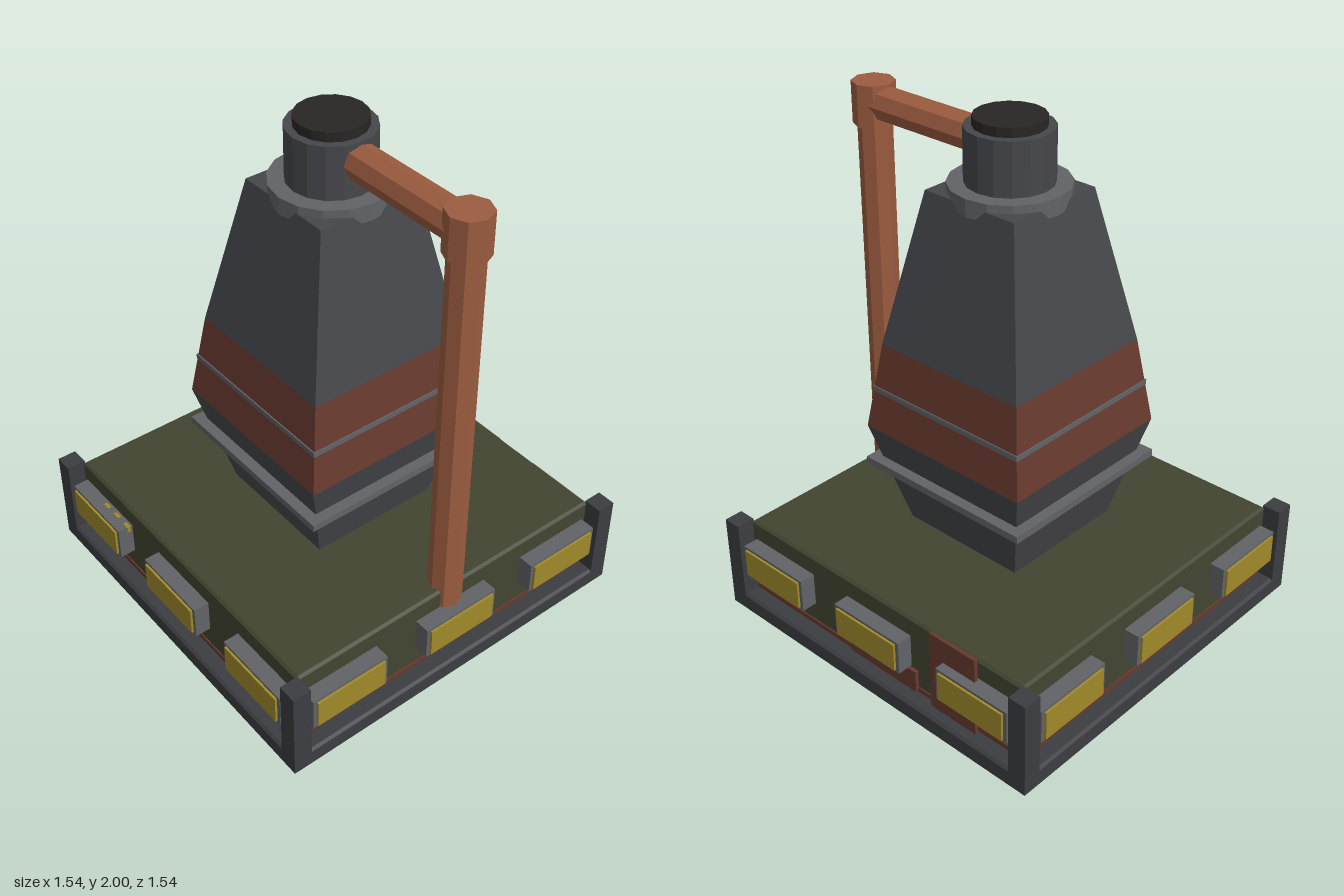
import * as THREE from 'three';

const mat = (color) => new THREE.MeshStandardMaterial({ color, flatShading: true });

export function createModel() {
  const root = new THREE.Group();
  root.name = 'furnaceTower';

  const steel = mat(0x46474b), darkSteel = mat(0x3c3d41), trim = mat(0x626367);
  const rust = mat(0x673a2f), copper = mat(0x9c5c3f), green = mat(0x424531);
  const yellow = mat(0xa08a2b), soot = mat(0x282624);

  const add = (parent, name, geo, material, x = 0, y = 0, z = 0) => {
    const mesh = new THREE.Mesh(geo, material);
    mesh.name = name;
    mesh.position.set(x, y, z);
    parent.add(mesh);
    return mesh;
  };
  const box = (parent, name, m, w, h, d, x, y, z) =>
    add(parent, name, new THREE.BoxGeometry(w, h, d), m, x, y, z);
  // Square frustum given by half widths at its bottom and top
  const frustum = (name, m, y0, h0, y1, h1) => {
    const geo = new THREE.CylinderGeometry(h1 * Math.SQRT2, h0 * Math.SQRT2, y1 - y0, 4);
    geo.rotateY(Math.PI / 4);
    return add(root, name, geo, m, 0, (y0 + y1) / 2, 0);
  };
  const tube = (name, m, r, y0, y1, sides, x = 0) =>
    add(root, name, new THREE.CylinderGeometry(r, r, y1 - y0, sides), m, x, (y0 + y1) / 2, 0);

  // Plinth: skirt, rust strip and bevelled green block
  frustum('skirt', darkSteel, 0, 0.77, 0.06, 0.77);
  frustum('skirtBevel', darkSteel, 0.06, 0.77, 0.07, 0.76);
  frustum('rustStrip', rust, 0.07, 0.705, 0.09, 0.705);
  frustum('plinth', green, 0.07, 0.7, 0.375, 0.7);
  frustum('plinthBevel', green, 0.375, 0.7, 0.385, 0.69);

  // Corner posts
  for (const sx of [-1, 1]) for (const sz of [-1, 1]) {
    box(root, 'cornerPost', darkSteel, 0.075, 0.38, 0.075, sx * 0.7325, 0.2, sz * 0.7325);
  }

  // Three framed lamps on each side
  for (let i = 0; i < 4; i++) {
    const side = new THREE.Group();
    side.name = 'lampRow';
    side.rotation.y = i * Math.PI / 2;
    for (const x of [-0.515, 0, 0.515]) {
      box(side, 'lampFrame', trim, 0.33, 0.135, 0.07, x, 0.2375, 0.727);
      box(side, 'lampPanel', yellow, 0.3, 0.115, 0.07, x, 0.2375, 0.736);
    }
    root.add(side);
  }

  // Small studs on a front lamp and rust patches on the back
  for (const x of [-0.5, -0.43, -0.36]) {
    box(root, 'stud', yellow, 0.03, 0.025, 0.015, x, 0.296, 0.718);
  }
  box(root, 'tallPatch', rust, 0.215, 0.34, 0.015, -0.392, 0.23, -0.717);
  box(root, 'lowPatch', rust, 0.34, 0.09, 0.015, -0.03, 0.12, -0.709);

  // Square tapered tower
  frustum('towerFoot', steel, 0.38, 0.263, 0.8, 0.373);
  frustum('rustBand', rust, 0.8, 0.373, 1.14, 0.325);
  frustum('towerTop', steel, 1.14, 0.325, 1.735, 0.205);
  frustum('lowerRing', trim, 0.635, 0.38, 0.663, 0.38);
  frustum('upperRing', trim, 0.95, 0.354, 0.97, 0.354);

  // Collar, chimney neck and sooty mouth
  tube('collar', trim, 0.22, 1.7, 1.765, 16);
  tube('chimneyNeck', steel, 0.16, 1.76, 1.965, 16);
  tube('chimneyMouth', soot, 0.13, 1.95, 2.0, 16);

  // Copper pipe from the neck down into the plinth
  tube('downPipe', copper, 0.065, 0.2, 1.85, 8, 0.665);
  tube('pipeElbow', copper, 0.081, 1.805, 1.965, 8, 0.665);
  const cross = add(root, 'crossPipe', new THREE.CylinderGeometry(0.066, 0.066, 0.52, 8), copper, 0.38, 1.89, 0);
  cross.rotation.z = Math.PI / 2;

  return root;
}
